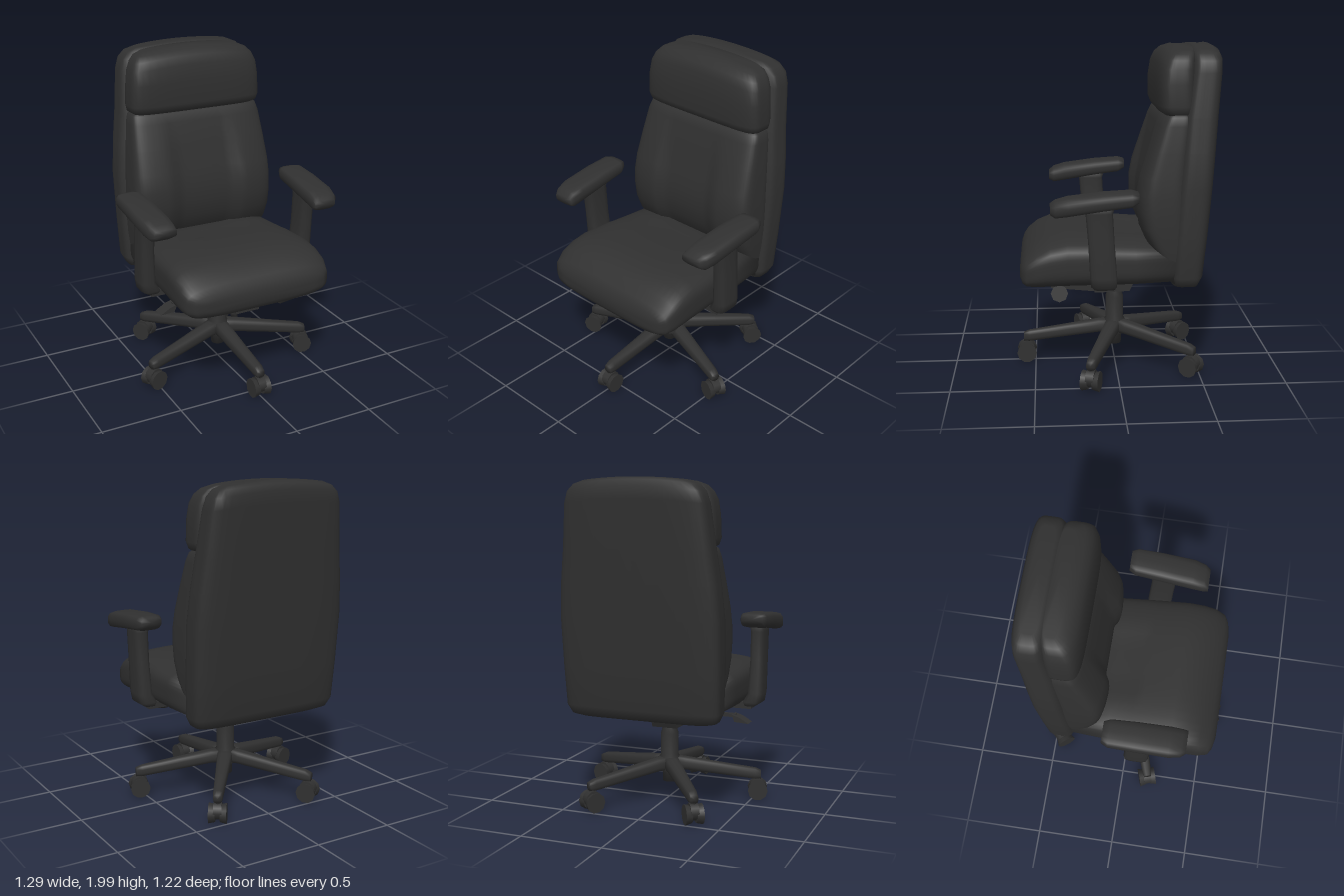
import * as THREE from 'three';

const upholstery = new THREE.MeshStandardMaterial({ color: 0x303030 });
upholstery.name = 'charcoal';

function add(parent, name, geometry) {
  const mesh = new THREE.Mesh(geometry, upholstery);
  mesh.name = name;
  parent.add(mesh);
  return mesh;
}

const smooth = (a, b, v) => {
  const t = Math.min(1, Math.max(0, (v - a) / (b - a)));
  return t * t * (3 - 2 * t);
};

// Unit rounded square: k points per side, p sets how tight the corners are
function roundedSquare(k, p) {
  const pts = [];
  for (let side = 0; side < 4; side++) {
    for (let i = 0; i < k; i++) {
      let u = 1, v = -1 + (2 * i) / k;
      for (let s = 0; s < side; s++) [u, v] = [-v, u];
      const r = Math.pow(Math.abs(u) ** p + Math.abs(v) ** p, -1 / p);
      pts.push([u * r, v * r]);
    }
  }
  return pts;
}

// Closed loft along axis 'y' or 'z'. Section: [position, halfWidth, low, high, centreX]
// (low and high are z values for axis y, y values for axis z)
function loft(axis, sections, { k = 8, p = 4, warp = null } = {}) {
  const ring = roundedSquare(k, p), n = ring.length, pos = [], idx = [];
  const put = (x, d, t) => {
    const v = axis === 'y' ? new THREE.Vector3(x, t, d) : new THREE.Vector3(x, d, t);
    if (warp) warp(v);
    pos.push(v.x, v.y, v.z);
  };
  for (const [t, w, lo, hi, cx = 0] of sections)
    for (const [u, v] of ring) put(cx + u * w, (lo + hi) / 2 + (v * (hi - lo)) / 2, t);
  const last = sections.length - 1;
  for (const s of [sections[0], sections[last]]) put(s[4] || 0, (s[2] + s[3]) / 2, s[0]);
  for (let j = 0; j < n; j++) {
    const j2 = (j + 1) % n;
    for (let i = 0; i < last; i++) {
      const a = i * n + j, b = i * n + j2, c = a + n, d = b + n;
      idx.push(a, b, d, a, d, c);
    }
    idx.push(n * (last + 1), j2, j, n * (last + 1) + 1, last * n + j, last * n + j2);
  }
  // Turn the faces outward if the enclosed volume is negative
  const at = i => new THREE.Vector3().fromArray(pos, i * 3);
  let volume = 0;
  for (let i = 0; i < idx.length; i += 3) volume += at(idx[i]).dot(at(idx[i + 1]).cross(at(idx[i + 2])));
  if (volume < 0) idx.reverse();
  const g = new THREE.BufferGeometry();
  g.setAttribute('position', new THREE.Float32BufferAttribute(pos, 3));
  g.setIndex(idx);
  g.computeVertexNormals();
  return g;
}

// Top edges drop slightly towards the sides
const arch = v => { v.y -= 0.03 * (v.x / 0.4) ** 2 * smooth(1.7, 1.95, v.y); };

function buildCushions(chair) {
  add(chair, 'seatCushion', loft('z', [
    [0.58, 0.36, 0.64, 0.72], [0.565, 0.43, 0.61, 0.76], [0.54, 0.47, 0.595, 0.795],
    [0.48, 0.488, 0.59, 0.845], [0.4, 0.492, 0.59, 0.88], [0.3, 0.49, 0.59, 0.9],
    [0.1, 0.48, 0.59, 0.893], [0.04, 0.478, 0.59, 0.885], [-0.1, 0.47, 0.59, 0.875], [-0.35, 0.455, 0.6, 0.86],
  ], { k: 14, p: 4, warp: v => {
    // Shallow dip across the middle of the seat
    if (v.y > 0.8) v.y -= 0.012 * smooth(0.1, 0.03, v.z) * smooth(0.25, 0.15, Math.abs(v.x));
  } }));

  add(chair, 'backShell', loft('y', [
    [0.59, 0.4, -0.45, -0.33], [0.605, 0.455, -0.48, -0.31], [0.66, 0.482, -0.505, -0.3],
    [0.9, 0.49, -0.53, -0.31], [1.2, 0.495, -0.555, -0.33], [1.4, 0.48, -0.57, -0.35],
    [1.6, 0.455, -0.585, -0.37], [1.88, 0.43, -0.605, -0.41], [1.95, 0.41, -0.605, -0.42],
    [1.985, 0.375, -0.59, -0.43], [2, 0.32, -0.56, -0.46],
  ], { k: 12, p: 5, warp: arch }));

  add(chair, 'backCushion', loft('y', [
    [0.62, 0.44, -0.42, -0.3], [0.75, 0.455, -0.42, -0.25], [0.85, 0.465, -0.42, -0.17],
    [0.95, 0.47, -0.42, -0.125], [1.05, 0.472, -0.42, -0.11], [1.15, 0.47, -0.42, -0.11],
    [1.25, 0.465, -0.42, -0.13], [1.4, 0.452, -0.43, -0.18], [1.55, 0.437, -0.44, -0.232],
    [1.6, 0.425, -0.44, -0.258], [1.62, 0.4, -0.43, -0.29],
  ], { k: 20, p: 5, warp: v => {
    // Recessed centre panel
    if (v.z > -0.28) v.z -= 0.035 * smooth(0.25, 0.17, Math.abs(v.x)) * smooth(1.5, 1.3, v.y);
  } }));

  add(chair, 'headrest', loft('y', [
    [1.605, 0.4, -0.43, -0.27], [1.62, 0.425, -0.45, -0.245], [1.66, 0.435, -0.45, -0.23],
    [1.8, 0.43, -0.45, -0.23], [1.9, 0.42, -0.45, -0.243], [1.95, 0.4, -0.45, -0.265],
    [1.98, 0.37, -0.45, -0.3], [1.995, 0.32, -0.44, -0.35],
  ], { k: 12, p: 5, warp: arch }));
}

function buildArm(chair, s) {
  const arm = new THREE.Group();
  arm.name = s > 0 ? 'leftArm' : 'rightArm';
  chair.add(arm);
  const side = rows => rows.map(([t, w, lo, hi, x]) => [t, w, lo, hi, x * s]);
  add(arm, 'armPad', loft('z', side([
    [-0.1, 0.065, 1.145, 1.2, 0.56], [-0.06, 0.082, 1.12, 1.21, 0.56], [0.1, 0.088, 1.1, 1.2, 0.555],
    [0.3, 0.09, 1.07, 1.175, 0.548], [0.37, 0.082, 1.06, 1.155, 0.54], [0.4, 0.07, 1.08, 1.13, 0.53],
  ]), { k: 4, p: 4 }));
  add(arm, 'armPost', loft('y', side([
    [0.62, 0.04, 0.03, 0.15, 0.5], [0.645, 0.058, 0.02, 0.17, 0.52], [0.7, 0.046, 0.02, 0.175, 0.54],
    [0.9, 0.042, 0.035, 0.185, 0.545], [1.08, 0.042, 0.045, 0.2, 0.545], [1.13, 0.05, 0.03, 0.22, 0.545],
  ]), { k: 4, p: 5 }));
  add(arm, 'armBracket', new THREE.BoxGeometry(0.2, 0.04, 0.12)).position.set(0.42 * s, 0.625, 0.09);
}

function buildMechanism(chair) {
  // Tilt housing, drawn from the side and widened
  const profile = new THREE.Shape([[0.4, 0.59], [0.4, 0.5], [0.05, 0.465], [-0.09, 0.47], [-0.15, 0.59]]
    .map(([z, y]) => new THREE.Vector2(z, y)));
  const housing = new THREE.ExtrudeGeometry(profile, { depth: 0.16, bevelEnabled: false });
  housing.rotateY(-Math.PI / 2).translate(0.08, 0, 0);
  add(chair, 'tiltHousing', housing);
  add(chair, 'seatPan', loft('y', [[0.545, 0.09, -0.12, 0.3], [0.575, 0.2, -0.18, 0.34], [0.6, 0.27, -0.22, 0.36]], { k: 4, p: 8 }));

  add(chair, 'leverRod', new THREE.BoxGeometry(0.34, 0.022, 0.025)).position.set(-0.22, 0.53, 0.15);
  const paddle = new THREE.ExtrudeGeometry(new THREE.Shape([
    new THREE.Vector2(-0.37, 0.54), new THREE.Vector2(-0.42, 0.525), new THREE.Vector2(-0.48, 0.49),
    new THREE.Vector2(-0.39, 0.495),
  ].reverse()), { depth: 0.08, bevelEnabled: false });
  add(chair, 'leverPaddle', paddle).position.z = 0.11;

  const rod = add(chair, 'knobRod', new THREE.CylinderGeometry(0.014, 0.014, 0.2, 6));
  rod.position.set(0.17, 0.55, 0.35);
  rod.rotation.z = Math.PI / 2;
  const knob = add(chair, 'tensionKnob', new THREE.CylinderGeometry(0.045, 0.052, 0.11, 8));
  knob.position.set(0.29, 0.535, 0.35);
  knob.rotation.z = Math.PI / 2 + 0.2;
}

function buildBase(chair) {
  const column = [[0, 0.11], [0.042, 0.11], [0.045, 0.17], [0.075, 0.185], [0.08, 0.25], [0.056, 0.28],
    [0.056, 0.42], [0.045, 0.455], [0.045, 0.49], [0, 0.49]];
  add(chair, 'gasColumn', new THREE.LatheGeometry(column.map(([r, y]) => new THREE.Vector2(r, y)), 12));

  // Five legs, one pointing straight ahead, each with a twin-wheel castor
  for (let i = 0; i < 5; i++) {
    const leg = new THREE.Group();
    leg.name = 'baseLeg';
    leg.rotation.y = (i * Math.PI * 2) / 5;
    chair.add(leg);
    add(leg, 'legBeam', loft('z', [
      [0.02, 0.05, 0.185, 0.275], [0.1, 0.046, 0.185, 0.265], [0.3, 0.038, 0.16, 0.235],
      [0.54, 0.03, 0.13, 0.2], [0.575, 0.025, 0.135, 0.185],
    ], { k: 3, p: 4 }));
    const castor = new THREE.Group();
    castor.name = 'castor';
    castor.position.set(0, 0.065, 0.555);
    leg.add(castor);
    for (const s of [-1, 1]) {
      const wheel = add(castor, 'castorWheel', new THREE.CylinderGeometry(s > 0 ? 0.052 : 0.062, s > 0 ? 0.062 : 0.052, 0.04, 10));
      wheel.rotation.z = Math.PI / 2;
      wheel.position.x = 0.034 * s;
    }
    const hood = add(castor, 'castorHood', new THREE.CylinderGeometry(0.052, 0.052, 0.05, 10));
    hood.rotation.z = Math.PI / 2;
    hood.position.y = 0.016;
    add(castor, 'castorStem', new THREE.CylinderGeometry(0.018, 0.022, 0.07, 8)).position.y = 0.07;
  }
}

export function createModel() {
  const chair = new THREE.Group();
  chair.name = 'officeChair';
  buildCushions(chair);
  for (const s of [-1, 1]) buildArm(chair, s);
  buildMechanism(chair);
  buildBase(chair);
  return chair;
}
